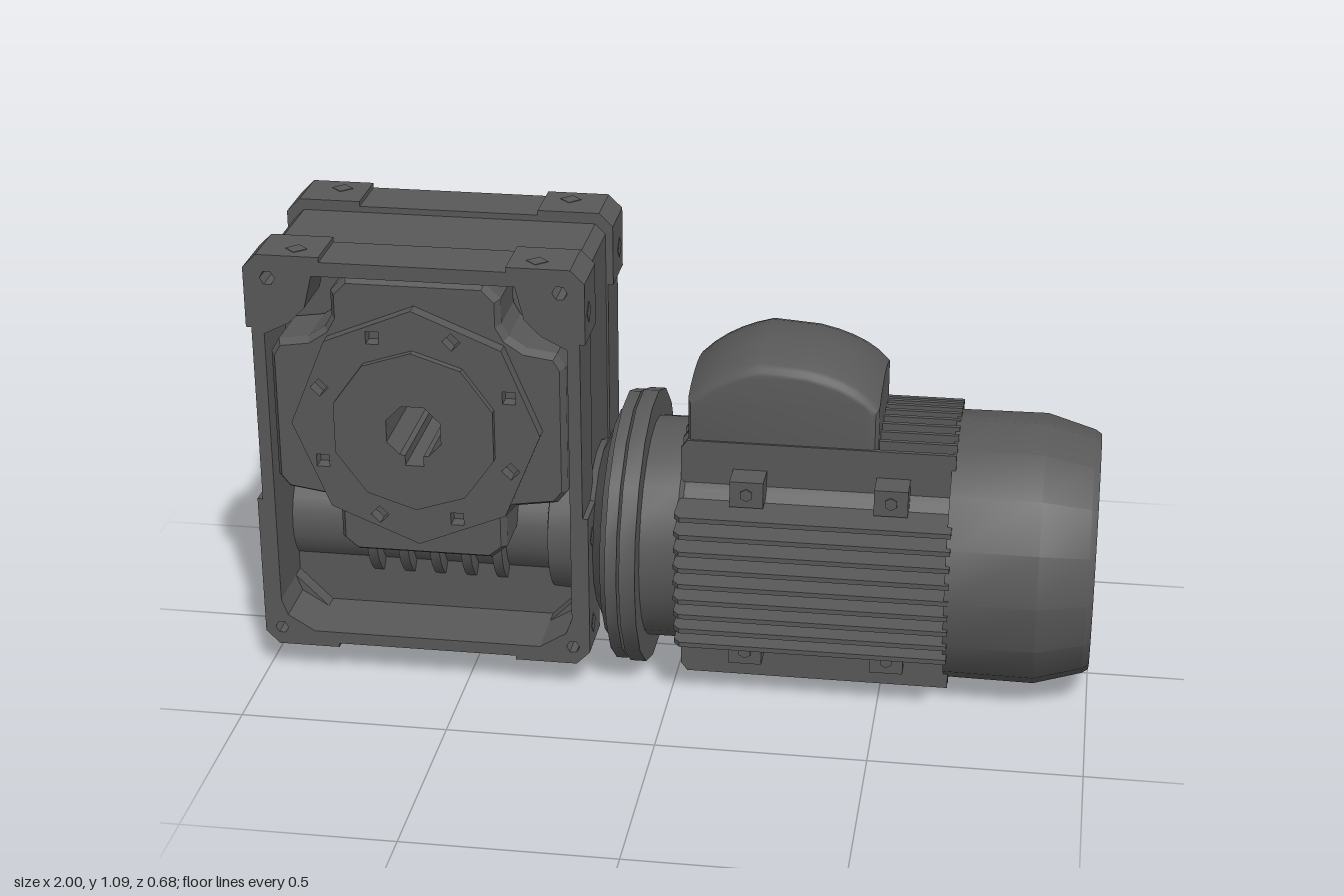
import * as THREE from 'three';
import { mergeGeometries, toCreasedNormals } from 'three/addons/utils/BufferGeometryUtils.js';

const material = new THREE.MeshStandardMaterial({ color: 0x585858, side: THREE.DoubleSide });
const GX = -0.597, HUB_Y = 0.69, AXIS_Y = 0.34; // gearbox centre, output bore and motor axis

function add(parent, name, geometry, x = 0, y = 0, z = 0) {
  const mesh = new THREE.Mesh(geometry, material);
  mesh.name = name;
  mesh.position.set(x, y, z);
  parent.add(mesh);
  return mesh;
}

// Closed outline from its right half, mirrored across x = 0
function mirrored(half, Type = THREE.Shape) {
  const left = half.map(([x, y]) => [-x, y]).reverse();
  return new Type([...half, ...left].map(([x, y]) => new THREE.Vector2(x, y)));
}

function polygon(Type, r, sides, x = 0, y = 0, turn = 0) {
  const points = [];
  for (let i = 0; i < sides; i++) {
    const a = turn + (i / sides) * Math.PI * 2;
    points.push(new THREE.Vector2(x + r * Math.cos(a), y + r * Math.sin(a)));
  }
  return new Type(points);
}

// Output bore with its keyway at the bottom
function bore() {
  return mirrored([[0.027, HUB_Y + 0.065], [0.065, HUB_Y + 0.027], [0.065, HUB_Y - 0.027],
    [0.035, HUB_Y - 0.058], [0.022, HUB_Y - 0.06], [0.022, HUB_Y - 0.085]], THREE.Path);
}

function slab(shape, z0, z1) {
  const g = new THREE.ExtrudeGeometry(shape, { depth: z1 - z0, bevelEnabled: false });
  return g.translate(0, 0, z0);
}

// Turned part around the motor axis; points are [x, radius]
function turned(points, sides = 18) {
  const g = new THREE.LatheGeometry(points.map(([x, r]) => new THREE.Vector2(r, x)), sides);
  return toCreasedNormals(g.rotateZ(-Math.PI / 2), 0.45);
}

function buildGearFace(name) {
  const face = new THREE.Group();
  face.name = name;

  // Rim plate with raised corner pads, corner holes and a deep opening
  const rim = mirrored([[0.22, 1.085], [0.22, 1.097], [0.37, 1.097], [0.403, 1.064], [0.403, 0.915], [0.39, 0.915],
    [0.39, 0.47], [0.403, 0.47], [0.403, 0.113], [0.37, 0.08], [0.22, 0.08], [0.22, 0.09]]);
  rim.holes.push(mirrored([[0.24, 1.05], [0.26, 0.97], [0.3, 0.93], [0.36, 0.9],
    [0.36, 0.2], [0.345, 0.16], [0.28, 0.12]], THREE.Path));
  for (const s of [-1, 1]) {
    rim.holes.push(polygon(THREE.Path, 0.018, 6, s * 0.345, 1.04));
    rim.holes.push(polygon(THREE.Path, 0.016, 6, s * 0.362, 0.125));
  }
  add(face, 'housingRim', slab(rim, 0.125, 0.265));

  // Stepped output boss with drafted edges
  const boss = mirrored([[0.16, 1.035], [0.19, 1.005], [0.19, 0.945], [0.21, 0.91], [0.255, 0.88], [0.325, 0.87],
    [0.34, 0.845], [0.34, 0.535], [0.32, 0.51], [0.22, 0.495], [0.19, 0.46], [0.19, 0.38], [0.16, 0.355]]);
  boss.holes.push(polygon(THREE.Path, 0.12, 8, 0, HUB_Y));
  const bossBody = new THREE.ExtrudeGeometry(boss, { depth: 0.14, bevelThickness: 0.02, bevelSize: 0.012, bevelSegments: 1 });
  add(face, 'outputBoss', bossBody, 0, 0, 0.1);

  // Hub flange with bolt holes, and the bored hub standing out of it
  const flange = polygon(THREE.Shape, 0.298, 8, 0, HUB_Y, Math.PI / 2);
  flange.holes.push(polygon(THREE.Path, 0.12, 8, 0, HUB_Y));
  for (let i = 0; i < 8; i++) {
    const a = ((i + 0.5) / 8) * Math.PI * 2;
    flange.holes.push(polygon(THREE.Path, 0.022, 4, 0.245 * Math.cos(a), HUB_Y + 0.245 * Math.sin(a), a + 0.4));
  }
  add(face, 'hubFlange', slab(flange, 0.25, 0.295));
  const hub = polygon(THREE.Shape, 0.2, 10, 0, HUB_Y, Math.PI / 2);
  hub.holes.push(bore());
  add(face, 'hub', slab(hub, 0.08, 0.313));

  // Flush screw plugs on the outer sides of the corner pads
  const plug = new THREE.CylinderGeometry(0.026, 0.026, 0.005, 4);
  for (const s of [-1, 1]) {
    add(face, 'padPlug', plug, s * 0.285, 1.096, 0.215);
    add(face, 'padPlug', plug, s * 0.285, 0.081, 0.215);
    for (const y of [0.98, 0.4, 0.17]) add(face, 'padPlug', plug, s * 0.402, y, 0.215).rotation.z = Math.PI / 2;
  }
  return face;
}

function buildGearbox() {
  const box = new THREE.Group();
  box.name = 'gearbox';
  box.position.x = GX;

  // Bored central body, and the outer walls joining the two rims
  const outline = [[0.36, 1.07], [0.385, 1.045], [0.385, 0.13], [0.36, 0.105]];
  const core = mirrored(outline);
  core.holes.push(bore());
  add(box, 'housingCore', slab(core, -0.09, 0.09));
  const wall = mirrored(outline);
  wall.holes.push(mirrored([[0.24, 1.05], [0.36, 0.9], [0.36, 0.2], [0.28, 0.12]], THREE.Path));
  add(box, 'housingWalls', slab(wall, -0.13, 0.13));

  const back = buildGearFace('backFace');
  back.rotation.y = Math.PI;
  box.add(buildGearFace('frontFace'), back);

  // Worm housing with cooling ribs and bearing collar
  add(box, 'wormHousing', turned([[-0.37, 0], [-0.37, 0.13], [0.37, 0.13], [0.37, 0]], 24), 0, AXIS_Y);
  add(box, 'bearingCollar', turned([[0.275, 0.12], [0.285, 0.168], [0.37, 0.172], [0.37, 0.12]], 24), 0, AXIS_Y);
  for (let i = -2; i <= 2; i++) {
    const rib = turned([[-0.02, 0.12], [-0.012, 0.158], [0.012, 0.158], [0.02, 0.12]], 24);
    add(box, 'wormRib', rib, i * 0.078, AXIS_Y);
  }
  return box;
}

function buildMotor() {
  const motor = new THREE.Group();
  motor.name = 'motor';
  motor.position.y = AXIS_Y;

  // Adapter and paired mounting flanges
  add(motor, 'adapter', turned([[-0.23, 0], [-0.23, 0.2], [-0.195, 0.21], [-0.165, 0.27], [-0.14, 0.285]]));
  add(motor, 'gearFlange', turned([[-0.165, 0.27], [-0.165, 0.285], [-0.145, 0.3], [-0.145, 0.333],
    [-0.117, 0.333], [-0.117, 0.29]]));
  add(motor, 'motorFlange', turned([[-0.11, 0.2], [-0.11, 0.338], [-0.072, 0.338], [-0.072, 0.26]]));
  add(motor, 'flangeSpigot', turned([[-0.13, 0.29], [-0.1, 0.29]]));

  // Round stator body
  add(motor, 'statorBody', turned([[-0.08, 0.272], [0.015, 0.272], [0.025, 0.262], [0.7, 0.262], [0.7, 0]], 24));

  // Straight cooling fins on four sides
  const fins = [];
  for (let side = 0; side < 4; side++) {
    for (let i = -4; i <= 4; i++) {
      const tip = 0.328 - 0.02 * (i / 4) ** 2;
      const fin = new THREE.Shape([[0.015, 0.2], [0.015, tip - 0.02], [0.03, tip], [0.665, tip], [0.665, 0.2]]
        .map(([x, y]) => new THREE.Vector2(x, y)));
      fins.push(slab(fin, -0.006, 0.006).translate(0, 0, i * 0.0412).rotateX(side * Math.PI / 2));
    }
  }
  add(motor, 'coolingFins', mergeGeometries(fins));

  // Foot mounting lugs
  for (const x of [0.18, 0.52]) for (const sy of [-1, 1]) for (const sz of [-1, 1]) {
    add(motor, 'mountingLug', new THREE.BoxGeometry(0.08, 0.065, 0.09), x, sy * 0.208, sz * 0.197);
    const bolt = new THREE.CylinderGeometry(0.016, 0.016, 0.02, 6).rotateX(Math.PI / 2);
    add(motor, 'lugBolt', bolt, x, sy * 0.208, sz * 0.236);
  }

  // Terminal box: domed cover, its crown falling away towards both sides
  const dome = new THREE.Shape();
  dome.moveTo(0.045, 0.22);
  dome.lineTo(0.045, 0.43);
  dome.quadraticCurveTo(0.1, 0.49, 0.2, 0.515);
  dome.lineTo(0.31, 0.507);
  dome.quadraticCurveTo(0.42, 0.485, 0.465, 0.43);
  dome.lineTo(0.465, 0.22);
  const cover = new THREE.ExtrudeGeometry(dome, { depth: 0.29, steps: 8, curveSegments: 5,
    bevelThickness: 0.02, bevelSize: 0.016, bevelSegments: 3 }).translate(0, 0, -0.145);
  const p = cover.attributes.position;
  for (let i = 0; i < p.count; i++) {
    if (p.getY(i) > 0.4) p.setY(i, p.getY(i) - 0.035 * (p.getZ(i) / 0.165) ** 2);
  }
  add(motor, 'terminalBox', toCreasedNormals(cover, 0.5));

  // Fan cowl
  add(motor, 'fanCowl', turned([[0.655, 0.25], [0.655, 0.326], [0.87, 0.328], [0.985, 0.295], [1, 0.285],
    [1, 0.27], [0.975, 0.262], [0.975, 0.25]], 16));
  buildFan(motor);
  return motor;
}

function buildFan(motor) {
  // Honeycomb grille
  const disc = polygon(THREE.Shape, 0.264, 32);
  const pitch = 0.0245;
  for (let row = -12; row <= 12; row++) for (let col = -11; col <= 11; col++) {
    const x = (col + (row & 1) / 2) * pitch, y = row * pitch * 0.866, r = Math.hypot(x, y);
    if (r > 0.038 && r < 0.246) disc.holes.push(polygon(THREE.Path, 0.0118, 6, x, y, Math.PI / 6));
  }
  add(motor, 'fanGrille', slab(disc, 0, 0.006).rotateY(Math.PI / 2), 0.975);
  add(motor, 'grilleCap', turned([[0.975, 0.03], [0.988, 0.025], [0.988, 0]], 12));

  // Fan behind the grille
  add(motor, 'fanHub', turned([[0.7, 0.07], [0.93, 0.06], [0.93, 0]], 12));
  const blades = [];
  for (let i = 0; i < 12; i++) {
    blades.push(new THREE.BoxGeometry(0.16, 0.19, 0.008).translate(0.86, 0.145, 0).rotateX((i / 12) * Math.PI * 2));
  }
  add(motor, 'fanBlades', mergeGeometries(blades));
  add(motor, 'fanDisc', turned([[0.78, 0.25], [0.79, 0.25], [0.79, 0.05]], 24));
}

export function createModel() {
  const model = new THREE.Group();
  model.name = 'wormGearMotor';
  model.add(buildGearbox(), buildMotor());
  return model;
}
